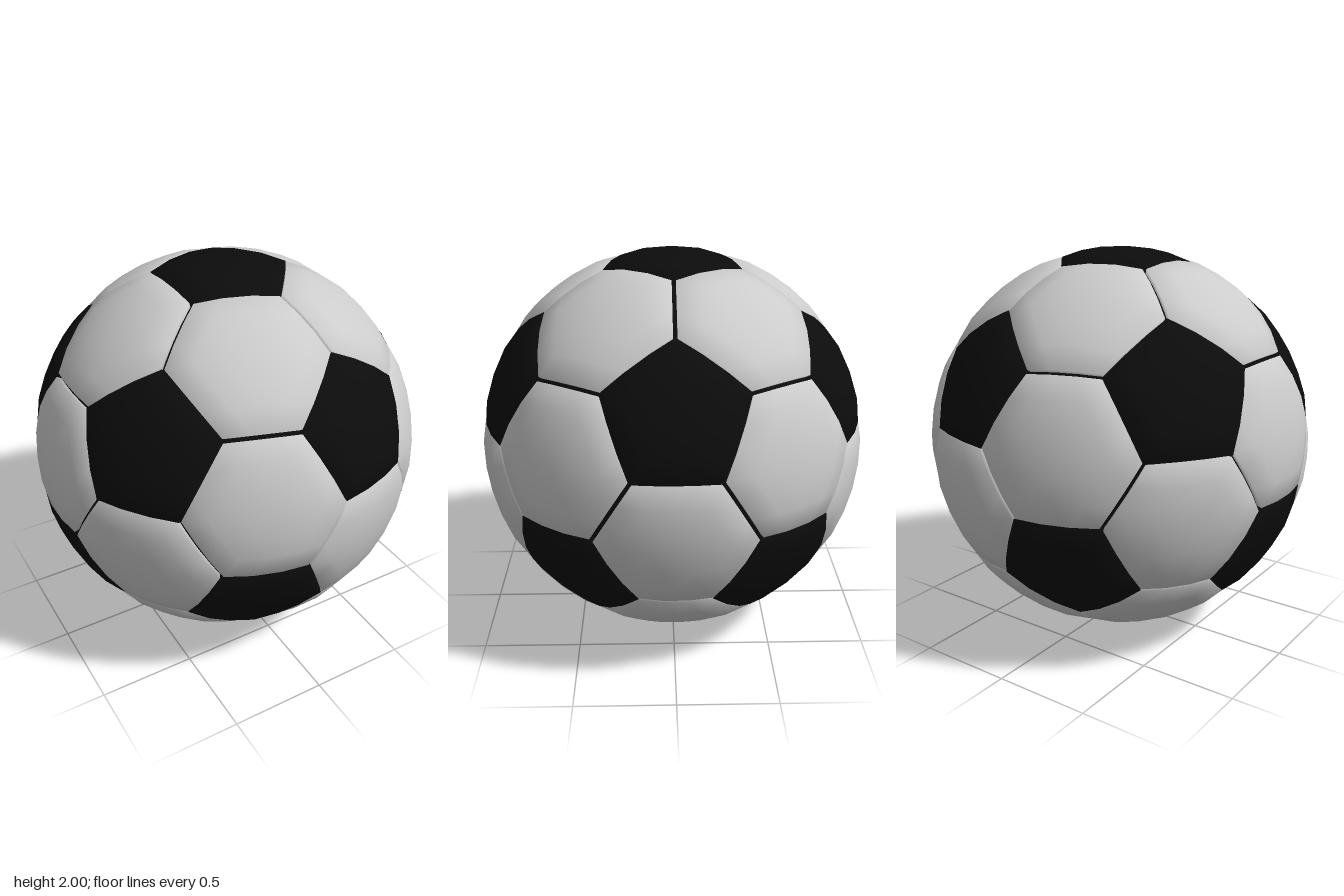
import * as THREE from 'three';

const RINGS = 3;          // subdivision rings from panel centre to rim
const CORNER = 0.372;     // angle from pentagon centre to its corner
const RIM = 0.991;        // rim radius, slightly sunk for a pillowed panel
const SKIRT = 0.955;      // radius the panel wall drops to

const white = new THREE.MeshStandardMaterial({ color: 0xcccccc });
const black = new THREE.MeshStandardMaterial({ color: 0x0c0c0c });

// Unit vector at the given angle from a towards b
function towards(a, b, angle) {
  const side = b.clone().addScaledVector(a, -a.dot(b)).normalize();
  return a.clone().multiplyScalar(Math.cos(angle)).addScaledVector(side, Math.sin(angle));
}

// Sort corners counter-clockwise seen from outside
function sortAround(centre, corners) {
  const u = corners[0].clone().addScaledVector(centre, -centre.dot(corners[0])).normalize();
  const v = centre.clone().cross(u);
  const angle = (p) => Math.atan2(p.dot(v), p.dot(u));
  return corners.sort((p, q) => angle(p) - angle(q));
}

// Domed panel: concentric rings on the sphere plus a short wall at the rim
function panelGeometry(centre, corners) {
  const sides = corners.length;
  const pos = [...centre.toArray()];
  const index = [];
  const start = [0];
  const addRing = (k, radius) => {
    start.push(pos.length / 3);
    for (let s = 0; s < sides; s++) {
      const a = centre.clone().lerp(corners[s], k / RINGS);
      const b = centre.clone().lerp(corners[(s + 1) % sides], k / RINGS);
      for (let j = 0; j < k; j++) {
        pos.push(...a.clone().lerp(b, j / k).setLength(radius).toArray());
      }
    }
  };
  for (let k = 1; k <= RINGS; k++) addRing(k, k === RINGS ? RIM : 1);
  addRing(RINGS, SKIRT);

  const at = (ring, k, i) => (k === 0 ? 0 : start[ring] + (i % (sides * k)));
  for (let k = 1; k <= RINGS; k++) {
    for (let s = 0; s < sides; s++) {
      for (let j = 0; j < k; j++) {
        const o = s * k + j;
        const n = s * (k - 1) + j;
        index.push(at(k - 1, k - 1, n), at(k, k, o), at(k, k, o + 1));
        if (j < k - 1) index.push(at(k - 1, k - 1, n), at(k, k, o + 1), at(k - 1, k - 1, n + 1));
      }
    }
  }
  const count = sides * RINGS;
  for (let i = 0; i < count; i++) {
    const a = at(RINGS, RINGS, i), b = at(RINGS, RINGS, i + 1);
    const c = at(RINGS + 1, RINGS, i), d = at(RINGS + 1, RINGS, i + 1);
    index.push(a, c, b, b, c, d);
  }
  const geo = new THREE.BufferGeometry();
  geo.setAttribute('position', new THREE.Float32BufferAttribute(pos, 3));
  geo.setIndex(index);
  geo.computeVertexNormals();
  return geo;
}

export function createModel() {
  const ball = new THREE.Group();
  ball.name = 'ball';
  const shell = new THREE.Group();
  shell.name = 'panels';
  shell.position.y = 1;
  ball.add(shell);

  // Twelve pentagon centres: two poles and two staggered rings of five
  const hubs = [new THREE.Vector3(0, 1, 0), new THREE.Vector3(0, -1, 0)];
  const h = 1 / Math.sqrt(5);
  for (let i = 0; i < 5; i++) {
    const a = (i * Math.PI * 2) / 5;
    const b = a + Math.PI / 5;
    hubs.push(new THREE.Vector3(2 * h * Math.cos(a), h, 2 * h * Math.sin(a)));
    hubs.push(new THREE.Vector3(2 * h * Math.cos(b), -h, 2 * h * Math.sin(b)));
  }
  const near = (a, b) => Math.abs(a.dot(b) - h) < 0.01;

  const addPanel = (name, centre, corners, material) => {
    const mesh = new THREE.Mesh(panelGeometry(centre, sortAround(centre, corners)), material);
    mesh.name = name;
    shell.add(mesh);
  };

  // Black pentagons
  for (const a of hubs) {
    const corners = hubs.filter((b) => near(a, b)).map((b) => towards(a, b, CORNER));
    addPanel('pentagonPanel', a, corners, black);
  }

  // Light hexagons, one per triple of neighbouring hubs, inset to leave seams
  for (let i = 0; i < 12; i++) for (let j = i + 1; j < 12; j++) for (let k = j + 1; k < 12; k++) {
    const t = [hubs[i], hubs[j], hubs[k]];
    if (!near(t[0], t[1]) || !near(t[1], t[2]) || !near(t[0], t[2])) continue;
    const centre = t[0].clone().add(t[1]).add(t[2]).normalize();
    const corners = [];
    for (let n = 0; n < 3; n++) {
      const a = t[n], b = t[(n + 1) % 3], c = t[(n + 2) % 3];
      const inset = c.clone().sub(a.clone().add(b).multiplyScalar(0.5)).setLength(0.011);
      for (const p of [towards(a, b, CORNER), towards(b, a, CORNER)]) corners.push(p.add(inset).normalize());
    }
    addPanel('hexagonPanel', centre, corners, white);
  }

  // Dark core seen through the seams
  const core = new THREE.Mesh(new THREE.SphereGeometry(0.965, 48, 32), black);
  core.name = 'core';
  shell.add(core);
  return ball;
}
